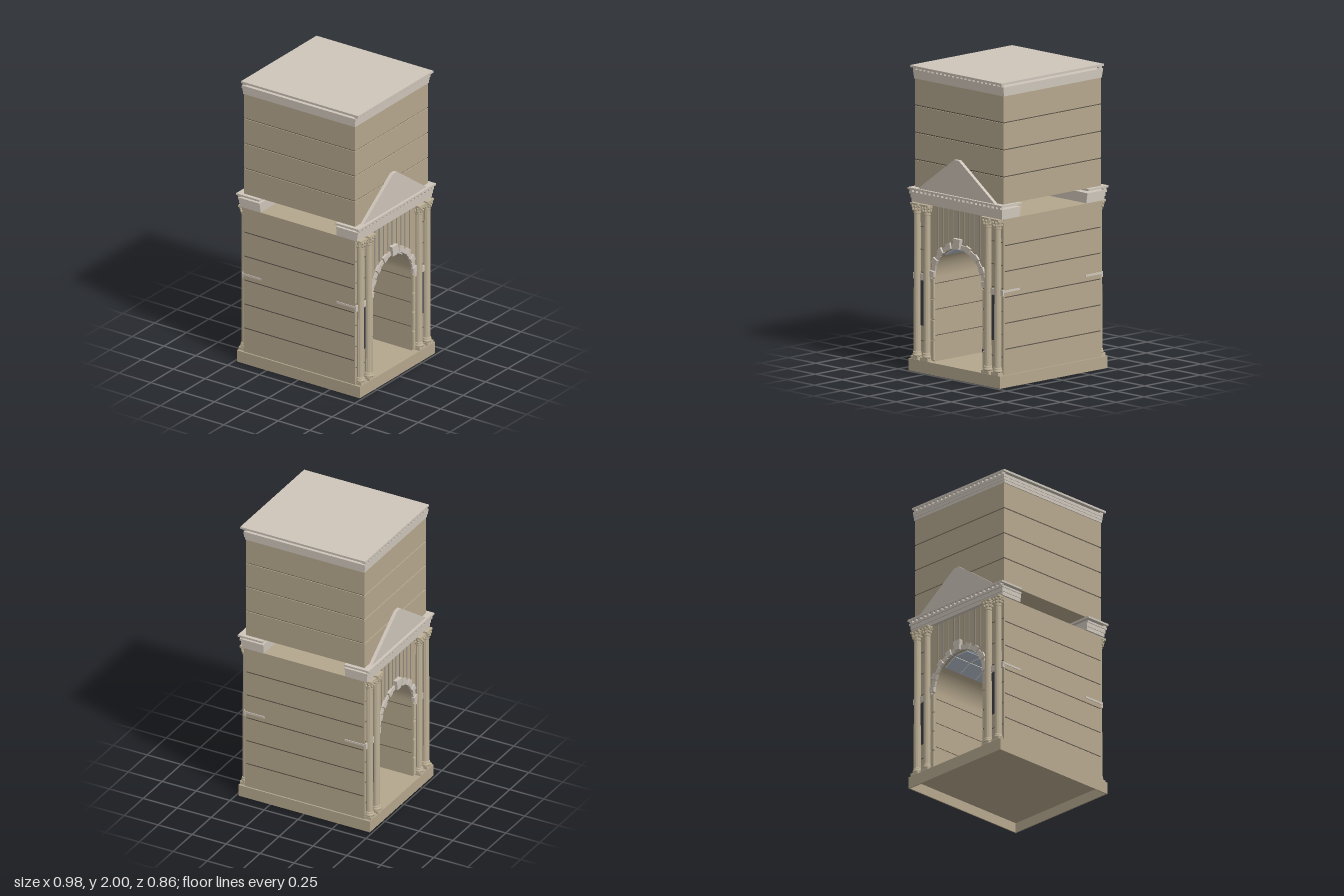
import * as THREE from 'three';

const mat = (color, extra = {}) => {
  const m = new THREE.MeshStandardMaterial(extra);
  m.color.set(color);
  return m;
};
const STONE = mat(0xb5a78d), TRIM = mat(0xcec5ba), SHAFT = mat(0xbfb298), SEAM = mat(0x5a5348);
const NAVY = mat(0x282e40), CYAN = mat(0x10b4e4), GLASS = mat(0xb4c0cc), NICHE = mat(0x3c3d48);

function add(parent, name, geo, material, x = 0, y = 0, z = 0) {
  const m = new THREE.Mesh(geo, material);
  m.name = name;
  m.position.set(x, y, z);
  parent.add(m);
  return m;
}
// Box given by its size in x and z and its bottom and top height
const slab = (p, name, material, w, y0, y1, d, x = 0, z = 0) =>
  add(p, name, new THREE.BoxGeometry(w, y1 - y0, d), material, x, (y0 + y1) / 2, z);

// Outline in (z, y) extruded along x from x0
function acrossX(shape, x0, depth) {
  const g = new THREE.ExtrudeGeometry(shape, { depth, bevelEnabled: false, curveSegments: 24 });
  g.rotateY(Math.PI / 2);
  g.translate(x0, 0, 0);
  return g;
}
const polygon = pts => new THREE.Shape(pts.map(p => new THREE.Vector2(...p)));

const SPRING = 0.63, R = 0.225, FLOOR = 0.08, WALL = 0.44;

function makeColumn() {
  const c = new THREE.Group();
  c.name = 'column';
  // Base: plinth and rounded mouldings
  slab(c, 'plinth', SHAFT, 0.06, 0.08, 0.1, 0.066);
  const base = [[0, 0.1], [0.031, 0.1], [0.033, 0.107], [0.031, 0.114], [0.026, 0.117],
    [0.029, 0.123], [0.026, 0.13], [0, 0.13]];
  add(c, 'columnBase', new THREE.LatheGeometry(base.map(p => new THREE.Vector2(...p)), 20), SHAFT);
  // Fluted shaft: every other edge is drawn in
  const g = new THREE.CylinderGeometry(0.0225, 0.025, 0.92, 24, 1);
  const p = g.attributes.position;
  for (let i = 0; i < p.count; i++) {
    const a = Math.round(Math.atan2(p.getX(i), p.getZ(i)) / (Math.PI / 12));
    if (Math.abs(a) % 2) { p.setX(i, p.getX(i) * 0.86); p.setZ(i, p.getZ(i) * 0.86); }
  }
  g.computeVertexNormals();
  add(c, 'shaft', g, SHAFT, 0, 0.59, 0);
  // Leafy capital
  const bell = [[0.023, 1.035], [0.027, 1.04], [0.023, 1.045], [0.025, 1.07], [0.032, 1.092]];
  add(c, 'capital', new THREE.LatheGeometry(bell.map(q => new THREE.Vector2(...q)), 16), SHAFT);
  for (let i = 0; i < 8; i++) {
    const a = (i + 0.5) * Math.PI / 4;
    for (const [r, y] of [[0.028, 1.063], [0.033, 1.083]])
      add(c, 'leaf', new THREE.SphereGeometry(0.008, 8, 6), SHAFT, r * Math.sin(a), y, r * Math.cos(a)).scale.y = 1.4;
  }
  slab(c, 'abacus', SHAFT, 0.064, 1.092, 1.105, 0.072);
  return c;
}

// Row of dentils along z
function dentils(p, x, y0, y1, half, n) {
  for (let i = 0; i < n; i++)
    slab(p, 'dentil', TRIM, 0.025, y0, y1, half / n, x, -half + (i + 0.5) * 2 * half / n);
}

// Everything on one arched side, facing +x
function makeFacade() {
  const f = new THREE.Group();
  f.name = 'facade';
  for (const z of [-0.37, -0.28, 0.28, 0.37]) {
    const c = makeColumn();
    c.position.set(0.453, 0, z);
    f.add(c);
  }
  for (const s of [-1, 1]) {
    slab(f, 'niche', NICHE, 0.004, 0.3, 0.595, 0.08, WALL + 0.001, s * 0.325);
    // Impost band that turns the corner
    slab(f, 'impost', TRIM, 0.012, 0.6, 0.64, 0.17, WALL + 0.004, s * 0.327);
    slab(f, 'impostReturn', TRIM, 0.15, 0.622, 0.636, 0.006, 0.37, s * 0.411);
    // Rusticated blocks beside the opening
    for (let i = 0; i < 4; i++)
      slab(f, 'jambBlock', SHAFT, 0.012, 0.09 + i * 0.135, 0.215 + i * 0.135, 0.026, WALL + 0.004, s * 0.238);
    for (let y = 0.2; y < 1.05; y += 0.15)
      slab(f, 'pierSeam', SEAM, 0.002, y - 0.002, y + 0.002, 0.14, WALL + 0.001, s * 0.335);
  }
  // Arch ring of wedge stones, alternately proud, with a keystone
  const N = 17;
  for (let i = 0; i < N; i++) {
    const a0 = Math.PI * (i + 0.05) / N, a1 = Math.PI * (i + 0.95) / N;
    const r1 = i % 2 ? 0.252 : 0.264, r0 = R - 0.004;
    const at = (r, a) => [r * Math.cos(a), SPRING + r * Math.sin(a)];
    const s = polygon([at(r0, a0), at(r1, a0), at(r1, a1), at(r0, a1)]);
    add(f, 'archStone', acrossX(s, WALL - 0.005, i % 2 ? 0.014 : 0.02), TRIM);
  }
  add(f, 'keystone', acrossX(polygon([[-0.023, 0.85], [0.023, 0.85], [0.032, 0.918], [-0.032, 0.918]]), WALL - 0.005, 0.032), TRIM);
  // Thin upright ribs above the arch
  for (let i = 0; i < 9; i++) {
    const z = (i - 4) * 0.048;
    const y0 = Math.max(SPRING + Math.sqrt(0.268 ** 2 - z * z), i === 4 ? 0.92 : 0);
    slab(f, 'rib', mat(0x9a958c), 0.005, y0, 1.1, 0.006, WALL + 0.002, z);
  }
  // Entablature with stepped mouldings, returning a short way round the corners
  for (const [y0, y1, x1, half] of [[1.105, 1.13, 0.46, 0.417], [1.13, 1.158, 0.465, 0.421],
    [1.158, 1.172, 0.472, 0.426], [1.187, 1.2, 0.482, 0.432]])
    slab(f, 'entablature', TRIM, x1 - 0.3, y0, y1, half * 2, (x1 + 0.3) / 2);
  dentils(f, 0.465, 1.172, 1.187, 0.425, 22);
  // Gable plate
  add(f, 'pediment', acrossX(polygon([[-0.352, 1.2], [0.352, 1.2], [0.022, 1.435], [-0.022, 1.435]]), WALL, 0.024), TRIM);
  // Bright strips on the portal screen
  for (const z of [-0.1, 0, 0.1]) slab(f, 'lightStrip', CYAN, 0.006, 0.105, 0.79, 0.016, 0.013, z);
  // Glass panels under the vault
  for (const a of [-0.52, 0, 0.52])
    for (let i = 0; i < 3; i++) {
      const m = add(f, 'vaultPanel', new THREE.BoxGeometry(0.125, 0.008, 0.1), GLASS,
        0.085 + i * 0.135, SPRING + 0.212 * Math.cos(a), 0.212 * Math.sin(a));
      m.rotation.x = a;
    }
  return f;
}

export function createModel() {
  const g = new THREE.Group();
  g.name = 'archTower';

  // Hollow base: rim and floor plate
  const rect = (w, d) => [[-w, -d], [w, -d], [w, d], [-w, d]];
  const rim = polygon(rect(0.484, 0.42));
  rim.holes.push(new THREE.Path(rect(0.476, 0.412).map(p => new THREE.Vector2(...p))));
  const rimGeo = new THREE.ExtrudeGeometry(rim, { depth: 0.08, bevelEnabled: false });
  rimGeo.rotateX(-Math.PI / 2);
  add(g, 'baseRim', rimGeo, STONE);
  slab(g, 'floor', STONE, 0.96, 0.066, 0.08, 0.832);

  // Lower block with the arched passage through it
  const wall = polygon([[-0.41, FLOOR], [-R, FLOOR], [-R, SPRING]]);
  wall.absarc(0, SPRING, R, Math.PI, 0, true);
  for (const [z, y] of [[R, FLOOR], [0.41, FLOOR], [0.41, 1.102], [-0.41, 1.102]]) wall.lineTo(z, y);
  add(g, 'lowerBlock', acrossX(wall, -WALL, 2 * WALL), STONE);
  for (const s of [-1, 1])
    for (let i = 0; i < 5; i++) {
      const y = 0.25 + i * 0.17;
      slab(g, 'courseSeam', SEAM, 0.86, y - 0.003, y + 0.003, 0.002, 0, s * 0.41);
      slab(g, 'passageSeam', SEAM, 0.86, y - 0.002, y + 0.002, 0.002, 0, s * R).visible = y < SPRING;
    }

  // Portal screen in the middle of the passage
  slab(g, 'portalScreen', NAVY, 0.02, FLOOR, 0.83, 0.44);
  slab(g, 'screenSill', mat(0x30354a), 0.034, FLOOR, 0.105, 0.44);

  // Upper block in four courses over a recessed core
  slab(g, 'upperCore', SEAM, 0.86, 1.205, 1.91, 0.8);
  const seams = [1.2, 1.38, 1.557, 1.735, 1.914];
  for (let i = 0; i < 4; i++)
    slab(g, 'upperCourse', STONE, 0.874, seams[i] + (i ? 0.004 : 0), seams[i + 1] - 0.004, 0.812);

  // Top cornice and roof
  for (const [y0, y1, w, d] of [[1.91, 1.93, 0.88, 0.824], [1.93, 1.95, 0.888, 0.83], [1.95, 1.97, 0.894, 0.836]])
    slab(g, 'topCornice', TRIM, w, y0, y1, d);
  slab(g, 'roof', TRIM, 0.92, 1.986, 2, 0.842, 0.01);
  dentils(g, -0.435, 1.97, 1.986, 0.415, 22);
  dentils(g, 0.443, 1.97, 1.986, 0.415, 22);

  // Two matching arched sides
  const right = makeFacade(), left = right.clone();
  left.rotation.y = Math.PI;
  g.add(right, left);
  return g;
}
